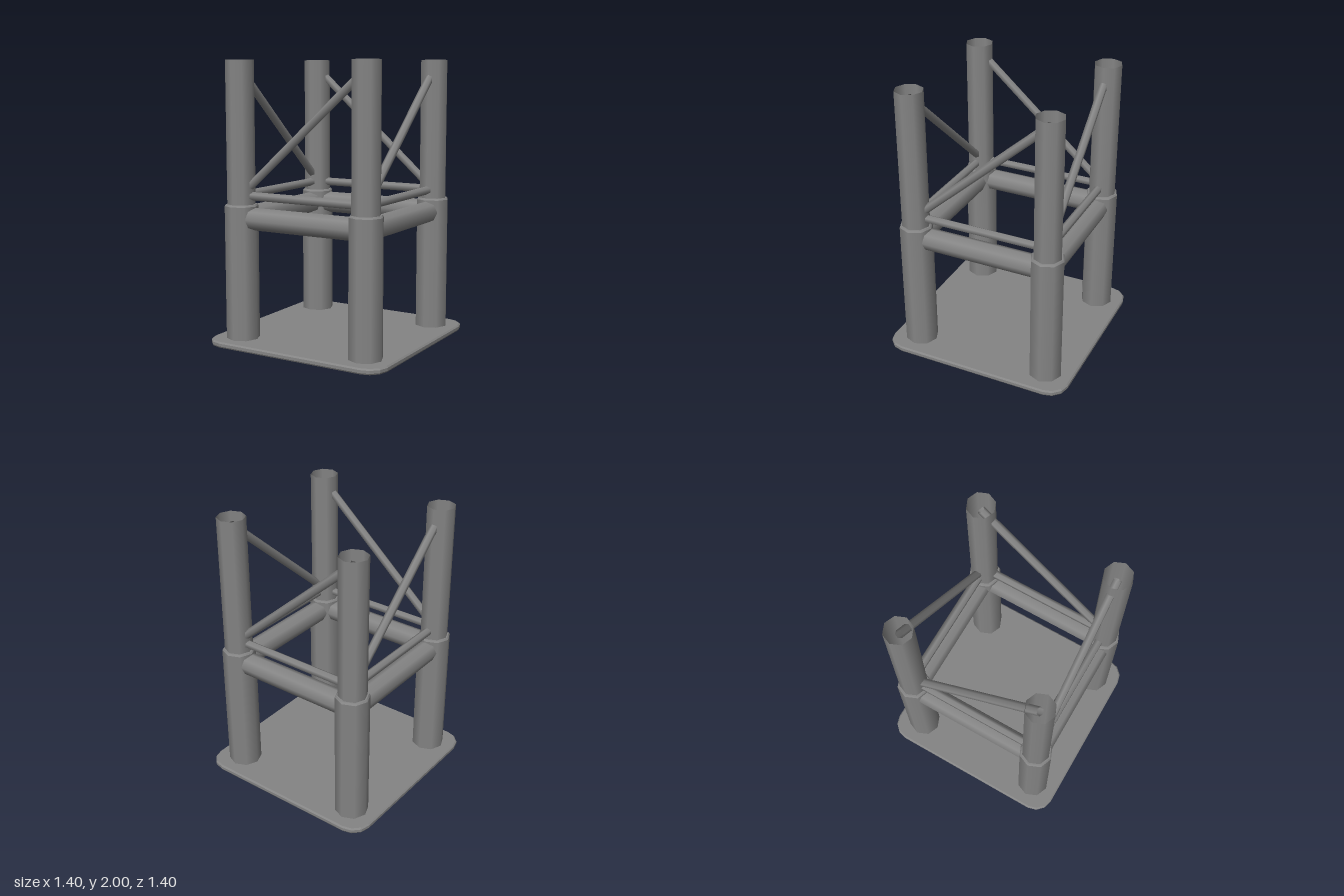
import * as THREE from 'three';

const LEG = 0.5; // leg offset from the centre on both axes
const COLOR = 0x858585;
const metal = new THREE.MeshStandardMaterial({ color: COLOR, side: THREE.DoubleSide });
const plateMetal = new THREE.MeshStandardMaterial({ color: COLOR, side: THREE.DoubleSide, flatShading: true });

// Open upright tube from y0 to y1
function upright(name, rBottom, rTop, y0, y1) {
  const mesh = new THREE.Mesh(new THREE.CylinderGeometry(rTop, rBottom, y1 - y0, 8, 1, true), metal);
  mesh.position.y = (y0 + y1) / 2;
  mesh.name = name;
  return mesh;
}

// Open tube between two points, with one of its corners facing up
function bar(name, radius, sides, from, to) {
  const dir = to.clone().sub(from);
  const geometry = new THREE.CylinderGeometry(radius, radius, dir.length(), sides, 1, true, Math.PI / 2);
  const mesh = new THREE.Mesh(geometry, metal);
  mesh.position.copy(from).add(to).multiplyScalar(0.5);
  mesh.quaternion.setFromUnitVectors(new THREE.Vector3(0, 1, 0), dir.normalize());
  mesh.name = name;
  return mesh;
}

// Rounded square plate, hollow underneath, lofted from a few rings
function basePlate() {
  const half = 0.7, corner = 0.135, steps = 3;
  const rings = [[0, 0.006], [0.01, 0], [0.03, 0], [0.04, 0.01]]; // height, inset
  const positions = [], index = [];
  const count = 4 * (steps + 1);
  for (const [y, inset] of rings) {
    for (let q = 0; q < 4; q++) {
      const mid = (q + 0.5) * Math.PI / 2;
      const cx = Math.sign(Math.cos(mid)) * (half - corner);
      const cz = Math.sign(Math.sin(mid)) * (half - corner);
      for (let s = 0; s <= steps; s++) {
        const a = (q + s / steps) * Math.PI / 2;
        positions.push(cx + Math.cos(a) * (corner - inset), y, cz + Math.sin(a) * (corner - inset));
      }
    }
  }
  for (let r = 0; r < rings.length - 1; r++) {
    for (let i = 0; i < count; i++) {
      const a = r * count + i, b = r * count + (i + 1) % count;
      index.push(a, a + count, b, b, a + count, b + count);
    }
  }
  // Top face as a fan
  const last = (rings.length - 1) * count;
  const centre = positions.length / 3;
  positions.push(0, 0.04, 0);
  for (let i = 0; i < count; i++) index.push(last + i, centre, last + (i + 1) % count);

  const indexed = new THREE.BufferGeometry();
  indexed.setAttribute('position', new THREE.Float32BufferAttribute(positions, 3));
  indexed.setIndex(index);
  const geometry = indexed.toNonIndexed();
  geometry.computeVertexNormals();
  const mesh = new THREE.Mesh(geometry, plateMetal);
  mesh.name = 'basePlate';
  return mesh;
}

// Lower sleeve with a chamfered shoulder, and the thinner pipe above it
function leg() {
  const group = new THREE.Group();
  group.name = 'leg';
  group.add(
    upright('lowerSleeve', 0.119, 0.119, 0, 0.988),
    upright('sleeveChamfer', 0.119, 0.11, 0.988, 1),
    upright('sleeveShoulder', 0.11, 0.1, 1, 1.0005),
    upright('upperPipe', 0.1, 0.1, 1, 2)
  );
  group.position.set(LEG, 0, LEG);
  return group;
}

export function createModel() {
  const model = new THREE.Group();
  model.name = 'latticeTowerBase';
  model.add(basePlate());

  // Four identical sides, each with one leg and its bracing
  const at = (x, y) => new THREE.Vector3(x, y, LEG);
  for (let i = 0; i < 4; i++) {
    const side = new THREE.Group();
    side.name = 'towerSide';
    side.add(
      leg(),
      bar('crossBeam', 0.08, 8, at(-LEG, 0.9), at(LEG, 0.9)),
      bar('horizontalRod', 0.03, 6, at(-LEG, 1.06), at(LEG, 1.06)),
      bar('diagonalBrace', 0.03, 6, at(-LEG, 1.06), at(LEG, 1.94))
    );
    side.rotation.y = i * Math.PI / 2;
    model.add(side);
  }
  return model;
}
